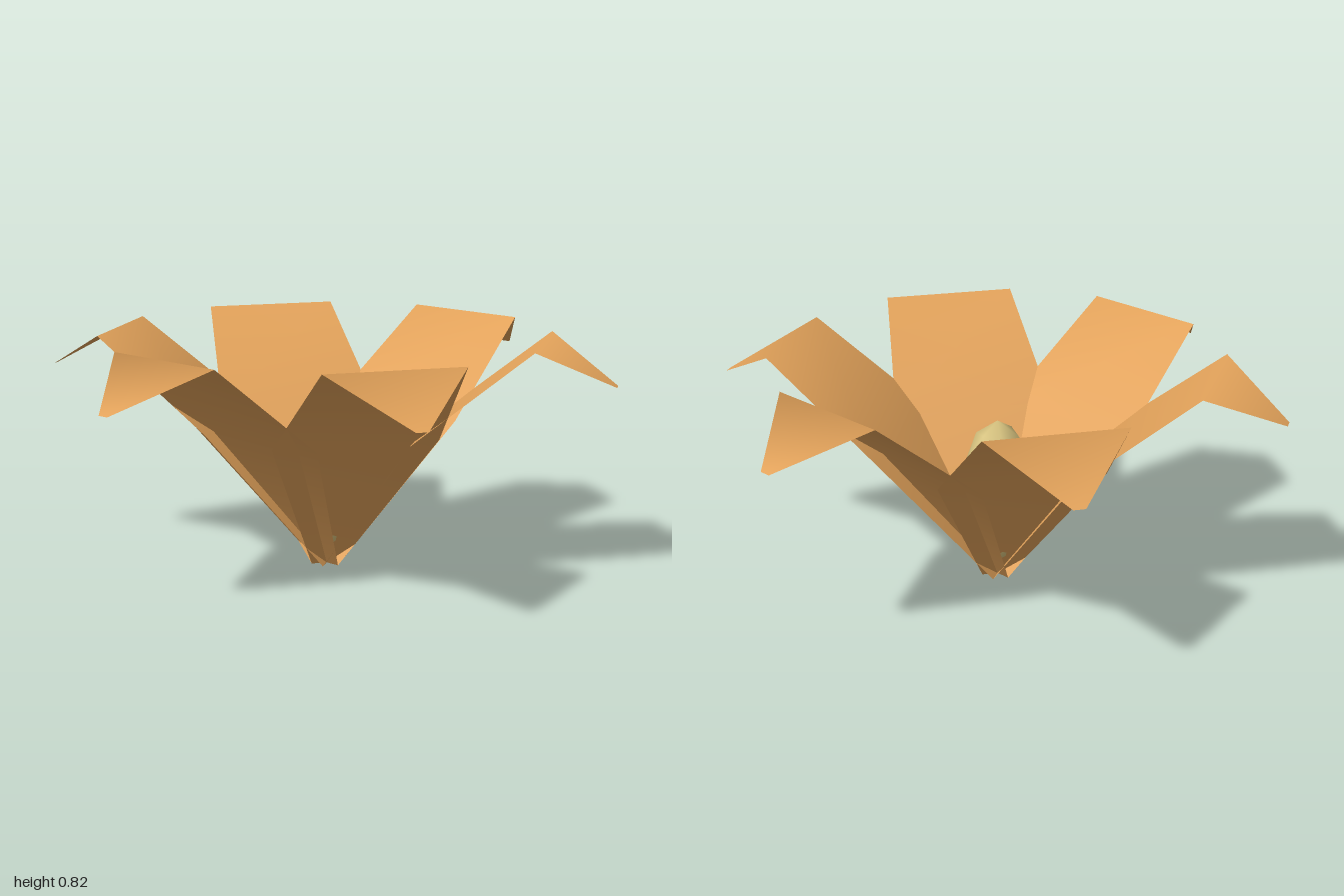
import * as THREE from 'three';

const petalMat = new THREE.MeshStandardMaterial({ color: 0xe2a25a, side: THREE.DoubleSide });
petalMat.name = 'petal orange';
const centreMat = new THREE.MeshStandardMaterial({ color: 0xd6c27e });
centreMat.name = 'pale yellow';

// Petal cross-sections from base to drooping tip: [radius, height, half width]
const SECTIONS = [
  [0, 0, 0.055],
  [0.35, 0.5, 0.29],
  [0.75, 0.82, 0.237],
  [1, 0.677, 0.02],
];

// Thin folded sheet with shared vertices, so the folds shade smoothly
function petalGeometry() {
  const positions = [];
  const index = [];
  SECTIONS.forEach(([r, y, w], i) => {
    positions.push(r, y, -w, r, y, w);
    if (i > 0) {
      const a = 2 * (i - 1);
      index.push(a, a + 1, a + 3, a, a + 3, a + 2);
    }
  });
  const geo = new THREE.BufferGeometry();
  geo.setAttribute('position', new THREE.Float32BufferAttribute(positions, 3));
  geo.setIndex(index);
  geo.computeVertexNormals();
  return geo;
}

export function createModel() {
  const flower = new THREE.Group();
  flower.name = 'flower';

  // Six petals around the centre
  const geo = petalGeometry();
  for (let k = 0; k < 6; k++) {
    const petal = new THREE.Mesh(geo, petalMat);
    petal.name = 'petal' + (k + 1);
    petal.rotation.y = (k * Math.PI) / 3;
    flower.add(petal);
  }

  // Tall rounded centre
  const pistil = new THREE.Mesh(new THREE.IcosahedronGeometry(1, 1), centreMat);
  pistil.name = 'pistil';
  pistil.scale.set(0.13, 0.27, 0.13);
  pistil.position.y = 0.315;
  flower.add(pistil);

  return flower;
}
